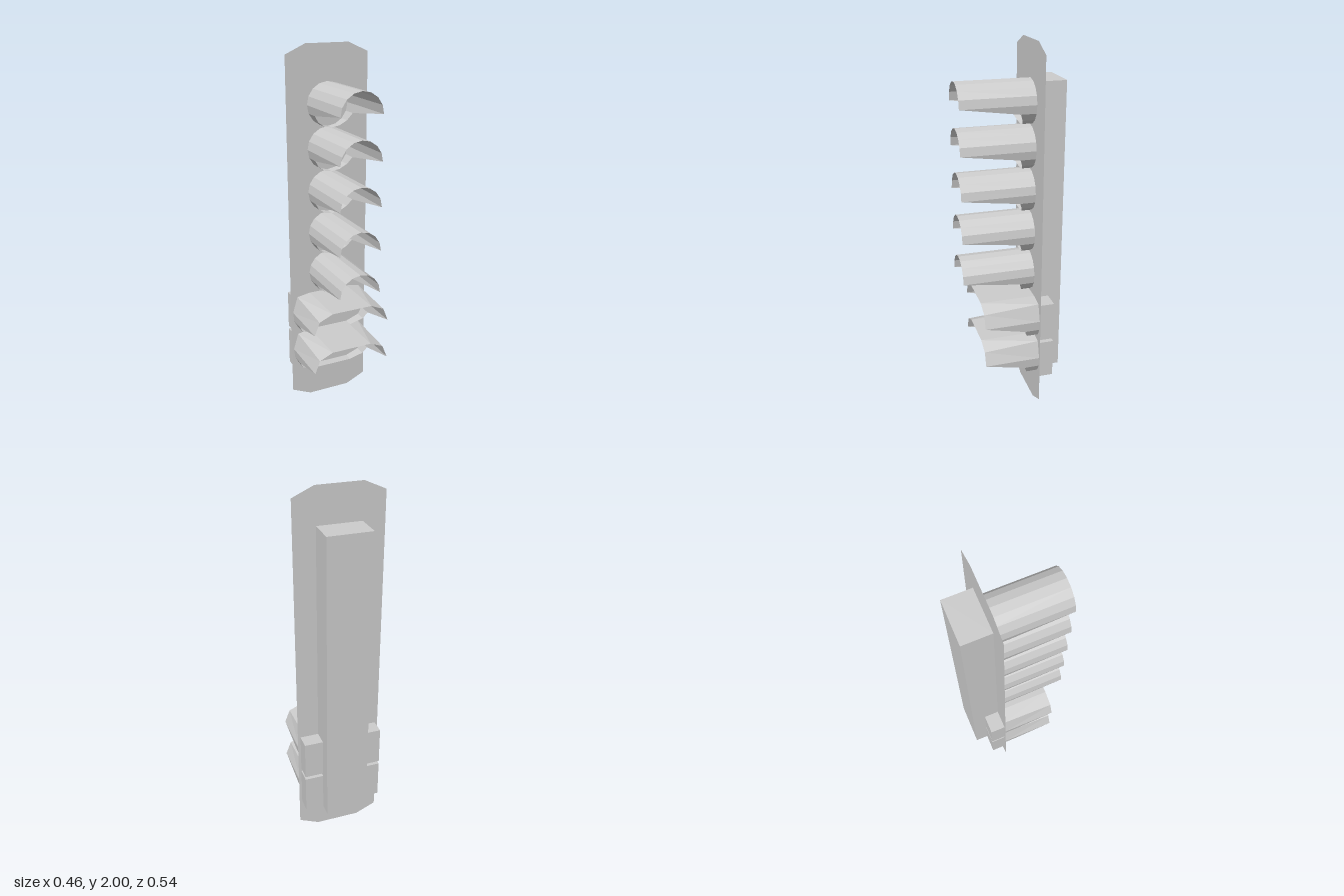
import * as THREE from 'three';

const PLATE_Z = -0.12;
const solid = new THREE.MeshStandardMaterial({ color: 0xcccccc, flatShading: true });
const thin = new THREE.MeshStandardMaterial({ color: 0xcccccc, flatShading: true, side: THREE.DoubleSide });

function add(parent, name, geometry, material) {
  const mesh = new THREE.Mesh(geometry, material);
  mesh.name = name;
  parent.add(mesh);
  return mesh;
}

// Box given by its low and high corners
function box(parent, name, [x0, y0, z0], [x1, y1, z1]) {
  const mesh = add(parent, name, new THREE.BoxGeometry(x1 - x0, y1 - y0, z1 - z0), solid);
  mesh.position.set((x0 + x1) / 2, (y0 + y1) / 2, (z0 + z1) / 2);
}

// Open sleeve between a back ring and a front rim, both clockwise seen from the front
function sleeve(back, front) {
  const pos = [];
  back.forEach((b, i) => {
    const j = (i + 1) % back.length;
    const [bj, f, fj] = [back[j], front[i], front[j]];
    const right = b[0] + bj[0] > 0;
    const tris = right ? [b, f, bj, f, fj, bj] : [b, f, fj, b, fj, bj];
    tris.forEach((p) => pos.push(...p));
  });
  const g = new THREE.BufferGeometry();
  g.setAttribute('position', new THREE.Float32BufferAttribute(pos, 3));
  g.computeVertexNormals();
  return g;
}

// Round hood: 16 sides, full length above the middle, cut away below
function roundVisor(r = 0.115) {
  const back = [], front = [];
  for (let i = 0; i < 16; i++) {
    const a = (i / 16) * Math.PI * 2;
    const x = r * Math.sin(a), y = r * Math.cos(a);
    const drop = (-y - 0.044) / (r - 0.044);
    const z = y > -0.01 ? 0.27 : -0.04 - 0.03 * Math.max(0, drop);
    back.push([x, y, PLATE_Z]);
    front.push([x, y, z]);
  }
  return sleeve(back, front);
}

// Wide hood: rounded rectangle whose upper corners droop towards the front
function wideVisor() {
  // x, y at the back, y at the rim, z of the rim
  const half = [
    [0.115, 0.113, 0.113, 0.18],
    [0.19, 0.1, 0.08, 0.18],
    [0.218, 0.008, 0.008, 0.18],
    [0.212, -0.045, -0.045, -0.04],
    [0.19, -0.085, -0.085, -0.057],
    [0.115, -0.113, -0.113, -0.07],
  ];
  const ring = half.concat(half.map(([x, ...rest]) => [-x, ...rest]).reverse());
  return sleeve(ring.map(([x, y]) => [x, y, PLATE_Z]), ring.map(([x, , y, z]) => [x, y, z]));
}

export function createModel() {
  const model = new THREE.Group();
  model.name = 'signalHead';

  // Thin backing plate with clipped corners
  const outline = [[-0.12, 0], [0.12, 0], [0.23, 0.05], [0.23, 1.95], [0.12, 2], [-0.12, 2], [-0.23, 1.95], [-0.23, 0.05]];
  const shape = new THREE.Shape(outline.map(([x, y]) => new THREE.Vector2(x, y)));
  add(model, 'backingPlate', new THREE.ShapeGeometry(shape), thin).position.z = PLATE_Z;

  // Housing behind the plate
  box(model, 'mainHousing', [-0.115, 0.195, -0.27], [0.115, 1.81, PLATE_Z]);

  // Two wide signals, each with a side housing on both sides
  const wide = wideVisor();
  [0.308, 0.537].forEach((y, i) => {
    add(model, 'wideVisor' + (i + 1), wide, thin).position.y = y;
    const [lo, hi] = [[0.195, 0.41], [0.428, 0.64]][i];
    box(model, 'leftSideHousing' + (i + 1), [0.115, lo, -0.2], [0.215, hi, PLATE_Z]);
    box(model, 'rightSideHousing' + (i + 1), [-0.215, lo, -0.2], [-0.115, hi, PLATE_Z]);
  });

  // Column of five round signals
  const round = roundVisor();
  for (let i = 0; i < 5; i++) {
    add(model, 'roundVisor' + (i + 1), round, thin).position.y = 0.77 + i * 0.2315;
  }
  return model;
}
